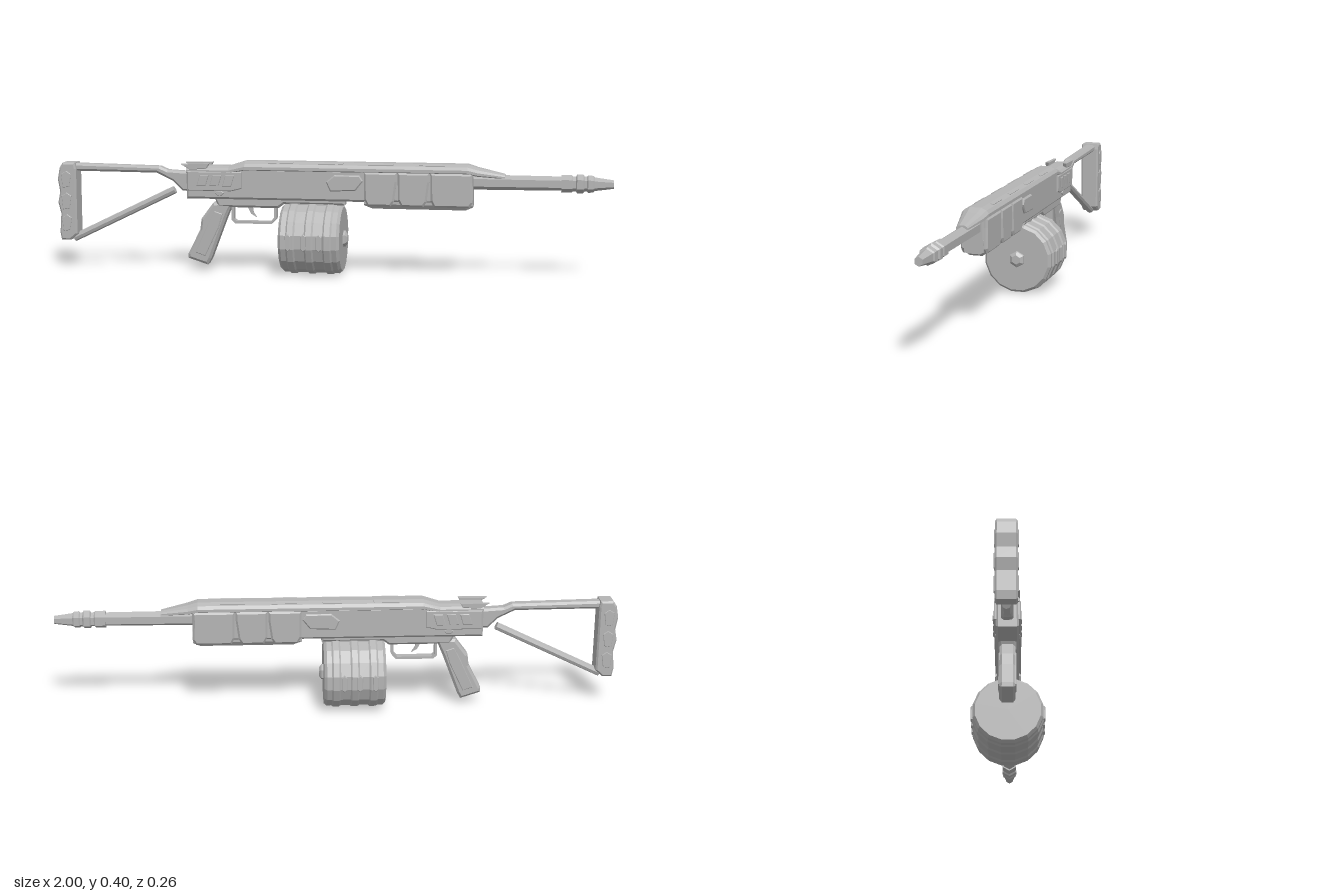
import * as THREE from 'three';

const grey = new THREE.MeshStandardMaterial({ color: 0xb4b4b4, flatShading: true });
grey.name = 'plain grey';

export function createModel() {
  const model = new THREE.Group();
  model.name = 'drumFedRifle';

  const add = (name, geometry, parent = model) => {
    const mesh = new THREE.Mesh(geometry, grey);
    mesh.name = name;
    parent.add(mesh);
    return mesh;
  };

  // Side outline [x, y] given a bevelled thickness, centred at z
  const slab = (name, pts, half, bevel = 0.008, z = 0) => {
    const shape = new THREE.Shape(pts.map(([x, y]) => new THREE.Vector2(x, y)));
    const g = new THREE.ExtrudeGeometry(shape, {
      depth: 2 * (half - bevel), bevelEnabled: bevel > 0, bevelSize: bevel,
      bevelThickness: bevel, bevelOffset: -bevel, bevelSegments: 1,
    });
    g.translate(0, 0, z - half + bevel);
    return add(name, g);
  };

  // The same slab on both flanks
  const pair = (name, pts, half, bevel, z) =>
    [[1, 'Left'], [-1, 'Right']].forEach(([s, side]) => {
      const m = slab(name + side, pts, half, bevel, s * z);
      m.name = name + (s > 0 ? 'Front' : 'Back');
    });

  // Loft along x through mirrored half sections of [z, y], listed top to bottom
  const loft = (name, sections) => {
    const pos = [], idx = [];
    const n = sections[0].half.length * 2;
    for (const { x, half } of sections) {
      const ring = [...half, ...half.slice().reverse().map(([z, y]) => [-z, y])];
      ring.forEach(([z, y]) => pos.push(x, y, z));
    }
    for (let s = 0; s < sections.length - 1; s++) {
      for (let i = 0; i < n; i++) {
        const j = (i + 1) % n, a = s * n, b = a + n;
        idx.push(a + i, a + j, b + j, a + i, b + j, b + i);
      }
    }
    const end = (sections.length - 1) * n;
    for (let i = 1; i < n - 1; i++) {
      idx.push(0, i + 1, i, end, end + i, end + i + 1);
    }
    const g = new THREE.BufferGeometry();
    g.setAttribute('position', new THREE.Float32BufferAttribute(pos, 3));
    g.setIndex(idx);
    g.computeVertexNormals();
    return add(name, g);
  };

  // Turned part along x from [x, radius] points
  const turned = (name, pts, sides, y) => {
    const g = new THREE.LatheGeometry(pts.map(([x, r]) => new THREE.Vector2(r, x)), sides, Math.PI / sides);
    g.rotateZ(-Math.PI / 2);
    g.translate(0, y, 0);
    return add(name, g);
  };

  // Straight round bar between two points of the middle plane
  const bar = (name, a, b, r) => {
    const p = new THREE.Vector3(a[0], a[1], 0), q = new THREE.Vector3(b[0], b[1], 0);
    const m = add(name, new THREE.CylinderGeometry(r, r, p.distanceTo(q), 8));
    m.position.copy(p).add(q).multiplyScalar(0.5);
    m.quaternion.setFromUnitVectors(new THREE.Vector3(0, 1, 0), q.sub(p).normalize());
    return m;
  };

  // Receiver
  slab('receiver', [[-0.515, 0.378], [0.515, 0.378], [0.515, 0.265], [-0.515, 0.265]], 0.039);
  slab('lowerReceiver', [[-0.42, 0.28], [0.06, 0.28], [0.06, 0.25], [-0.16, 0.25], [-0.18, 0.235], [-0.4, 0.235]], 0.03);
  pair('rearPlate', [[-0.51, 0.365], [-0.31, 0.365], [-0.31, 0.305], [-0.35, 0.295], [-0.51, 0.295]], 0.006, 0.003, 0.039);
  for (let i = 0; i < 3; i++) {
    const x = -0.475 + i * 0.047;
    pair('ventRib' + i, [[x + 0.012, 0.353], [x + 0.045, 0.353], [x + 0.033, 0.313], [x, 0.313]], 0.004, 0.002, 0.045);
  }
  pair('portCover', [[-0.005, 0.335], [0.025, 0.36], [0.115, 0.36], [0.128, 0.34], [0.1, 0.305], [0.01, 0.302]], 0.006, 0.004, 0.041);
  pair('takedownPin', [[-0.41, 0.288], [-0.4, 0.296], [-0.385, 0.296], [-0.375, 0.288], [-0.385, 0.278], [-0.4, 0.278]], 0.004, 0.002, 0.039);

  // Arched top cover that narrows over the barrel
  const arch = (w, top, drop) => [[w * 0.42, top], [w * 0.8, top - drop * 0.25], [w, top - drop * 0.55], [w, top - drop * 0.85], [w * 0.75, top - drop]];
  loft('topCover', [
    { x: -0.515, half: arch(0.042, 0.384, 0.026) },
    { x: -0.36, half: arch(0.044, 0.384, 0.026) },
    { x: -0.3, half: arch(0.047, 0.403, 0.034) },
    { x: 0.495, half: arch(0.047, 0.403, 0.034) },
    { x: 0.53, half: arch(0.04, 0.392, 0.03) },
    { x: 0.625, half: arch(0.02, 0.37, 0.016) },
  ]);
  for (let i = 0; i < 4; i++) {
    for (const s of [-1, 1]) {
      const rib = add('coverRib', new THREE.BoxGeometry(0.09, 0.004, 0.01));
      rib.position.set(-0.17 + i * 0.18, 0.3985, s * 0.029);
      rib.rotation.x = s * 0.45;
    }
  }
  pair('rearSight', [[-0.535, 0.39], [-0.43, 0.393], [-0.44, 0.375], [-0.5, 0.37]], 0.007, 0.002, 0.035);

  // Segmented handguard
  const cuts = [0.13, 0.25, 0.365, 0.515];
  for (let i = 0; i < 3; i++) {
    const a = cuts[i], b = cuts[i + 1];
    const last = i === 2 ? 0 : 0.012;
    pair('handguardPad' + i, [[a, 0.372], [b - 0.003, 0.372], [b - 0.003, 0.34], [b - last, 0.27],
      [b - last - 0.012, 0.252], [a + 0.014, 0.252], [a + 0.002, 0.275]], 0.012, 0.007, 0.035);
  }
  loft('handguardBelly', [0.13, 0.16, 0.49, 0.515].map((x, i) => {
    const y = i === 0 || i === 3 ? 0.252 : 0.241;
    return { x, half: [[0.035, 0.3], [0.034, 0.258], [0.022, y]] };
  }));

  // Barrel and ringed muzzle
  turned('barrel', [[0.5, 0], [0.5, 0.027], [0.83, 0.025], [0.83, 0]], 6, 0.34);
  turned('muzzle', [[0.82, 0], [0.82, 0.031], [0.855, 0.031], [0.86, 0.026], [0.87, 0.026], [0.874, 0.033], [0.895, 0.033],
    [0.9, 0.026], [0.908, 0.026], [0.912, 0.031], [0.93, 0.029], [0.935, 0.024], [1, 0.015], [1, 0]], 6, 0.34);

  // Drum magazine with three bands
  const drum = [[-0.166, 0], [-0.166, 0.116], [-0.156, 0.125]];
  for (let i = 0; i < 3; i++) {
    const x = -0.122 + i * 0.066;
    drum.push([x - 0.016, 0.124], [x - 0.01, 0.129], [x + 0.01, 0.129], [x + 0.016, 0.124]);
  }
  drum.push([0.043, 0.125], [0.053, 0.116], [0.053, 0]);
  turned('drumMagazine', drum, 16, 0.127);
  turned('drumHub', [[0.045, 0], [0.045, 0.031], [0.06, 0.029], [0.068, 0.017], [0.068, 0]], 6, 0.127);
  for (let i = 0; i < 3; i++) {
    const x = -0.128 + i * 0.055;
    pair('drumSlot' + i, [[x - 0.01, 0.15], [x, 0.158], [x + 0.01, 0.15], [x + 0.01, 0.104], [x, 0.096], [x - 0.01, 0.104]], 0.004, 0.002, 0.126);
  }
  const well = add('magazineWell', new THREE.BoxGeometry(0.16, 0.04, 0.05));
  well.position.set(-0.06, 0.255, 0);

  // Pistol grip
  slab('grip', [[-0.42, 0.25], [-0.35, 0.25], [-0.375, 0.19], [-0.43, 0.045], [-0.443, 0.022], [-0.515, 0.045], [-0.515, 0.062], [-0.47, 0.15], [-0.465, 0.19]], 0.027, 0.009);
  pair('gripPanel', [[-0.415, 0.22], [-0.385, 0.21], [-0.4, 0.16], [-0.45, 0.055], [-0.487, 0.068], [-0.44, 0.17]], 0.004, 0.002, 0.026);

  // Trigger and guard
  slab('triggerGuard', [[-0.355, 0.245], [-0.355, 0.187], [-0.342, 0.175], [-0.208, 0.175], [-0.19, 0.195], [-0.19, 0.245],
    [-0.199, 0.245], [-0.199, 0.198], [-0.211, 0.184], [-0.338, 0.184], [-0.346, 0.191], [-0.346, 0.245]], 0.014, 0);
  slab('trigger', [[-0.3, 0.24], [-0.28, 0.24], [-0.276, 0.215], [-0.264, 0.198], [-0.284, 0.21]], 0.005, 0);

  // Skeleton stock
  slab('stockArm', [[-0.95, 0.384], [-0.62, 0.378], [-0.59, 0.365], [-0.505, 0.36], [-0.505, 0.29], [-0.535, 0.29], [-0.57, 0.325], [-0.63, 0.354], [-0.95, 0.356]], 0.021, 0.008);
  bar('stockStrut', [-0.95, 0.106], [-0.567, 0.292], 0.014);
  slab('buttPad', [[-0.992, 0.368], [-0.98, 0.387], [-0.935, 0.387], [-0.93, 0.365], [-0.93, 0.125], [-0.955, 0.102], [-0.99, 0.102],
    [-0.995, 0.13], [-0.99, 0.2], [-1, 0.24], [-0.992, 0.28], [-1, 0.325]], 0.035, 0.006);
  for (let i = 0; i < 3; i++) {
    const y = 0.135 + i * 0.08;
    pair('buttRib' + i, [[-0.98, y], [-0.985, y + 0.05], [-0.965, y + 0.062], [-0.948, y + 0.05], [-0.955, y + 0.005]], 0.003, 0.0015, 0.035);
  }

  return model;
}
